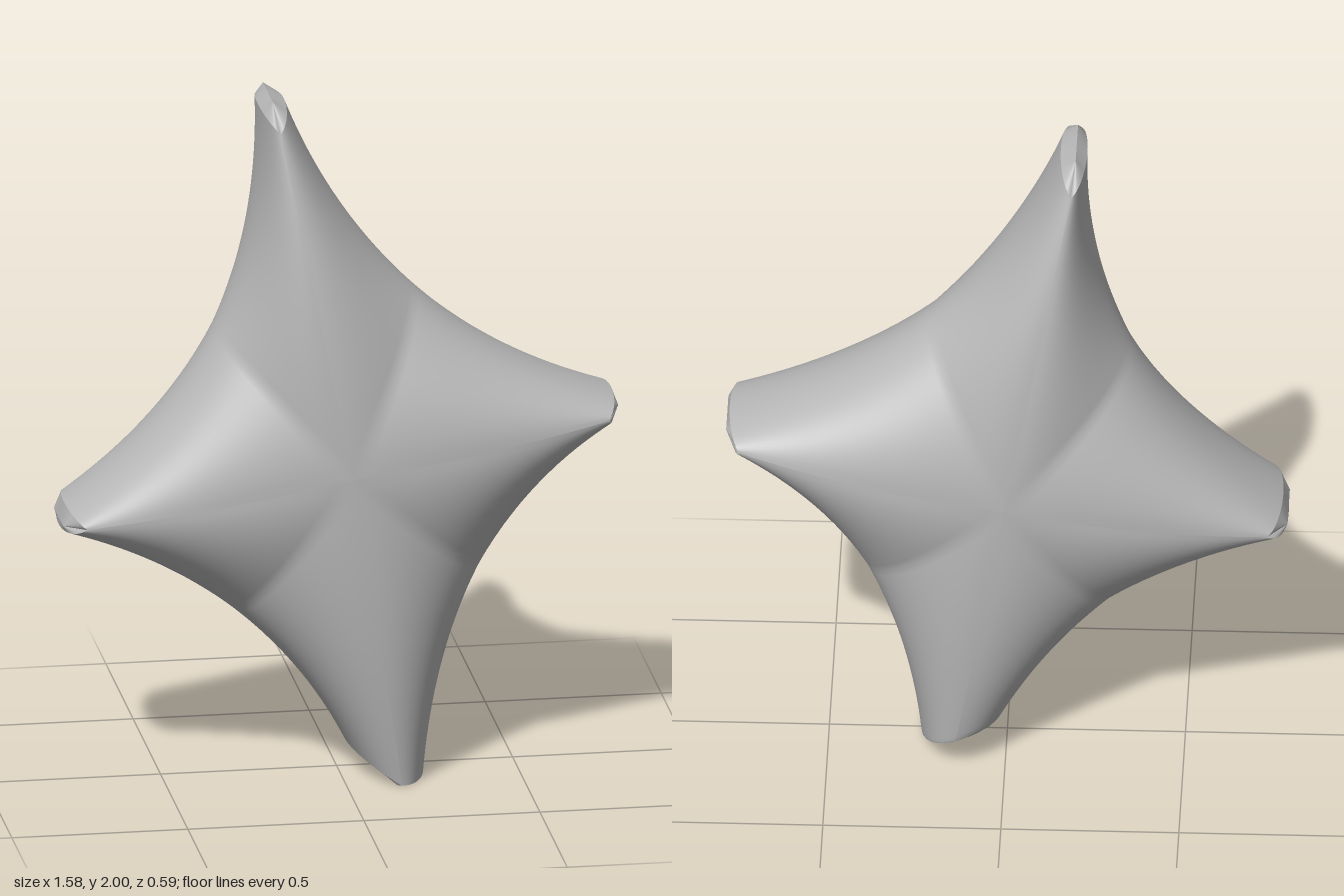
import * as THREE from 'three';

const V = (x, y) => new THREE.Vector2(x, y);
const CENTER = V(0, 0.94);
const DEPTH = 0.297;

// Arms, clockwise from the top: ridge end, tip apex, ridge depth at the end, half depth of the flat tip
const ARMS = [
  { name: 'top', ridge: V(-0.185, 1.93), apex: V(-0.195, 2.0), depth: 0.172, flat: 0.09 },
  { name: 'left', ridge: V(0.745, 1.035), apex: V(0.787, 1.055), depth: 0.172, flat: 0.085 },
  { name: 'bottom', ridge: V(0.155, 0.0), apex: V(0.14, 0.0), depth: 0.208, flat: 0.2 },
  { name: 'right', ridge: V(-0.735, 0.79), apex: V(-0.79, 0.775), depth: 0.175, flat: 0.085 },
];

// Concave sides between neighbouring arms: start, middle and end of each outline
const SIDES = [
  [V(-0.15, 1.98), V(0.215, 1.415), V(0.78, 1.08)],
  [V(0.77, 1.01), V(0.4, 0.585), V(0.24, 0.0)],
  [V(0.02, 0.085), V(-0.3, 0.49), V(-0.79, 0.755)],
  [V(-0.775, 0.82), V(-0.35, 1.32), V(-0.225, 1.97)],
];

// Slanted cut under the bottom arm
const cut = (p) => {
  p.y = Math.max(p.y, 0.097 - 0.36 * p.x - 0.26 * p.z, 0);
  return p;
};

// Surface from a grid of points
function grid(fn, nu, nv) {
  const pos = [], idx = [];
  for (let i = 0; i <= nu; i++)
    for (let j = 0; j <= nv; j++) pos.push(...fn(i / nu, j / nv).toArray());
  for (let i = 0; i < nu; i++)
    for (let j = 0; j < nv; j++) {
      const a = i * (nv + 1) + j, b = a + nv + 1;
      idx.push(a, b, a + 1, b, b + 1, a + 1);
    }
  const g = new THREE.BufferGeometry();
  g.setAttribute('position', new THREE.Float32BufferAttribute(pos, 3));
  g.setIndex(idx);
  g.computeVertexNormals();
  return g;
}

export function createModel() {
  const group = new THREE.Group();
  group.name = 'puffyStar';
  const grey = new THREE.MeshStandardMaterial({ color: 0xb8b8b8, side: THREE.DoubleSide });
  grey.name = 'plain grey';
  const add = (geometry, name) => {
    const mesh = new THREE.Mesh(geometry, grey);
    mesh.name = name;
    group.add(mesh);
  };

  SIDES.forEach(([a, m, b], k) => {
    const from = ARMS[k], to = ARMS[(k + 1) % 4];
    const control = m.clone().multiplyScalar(2).sub(a.clone().add(b).multiplyScalar(0.5));
    const outline = new THREE.QuadraticBezierCurve(a, control, b);

    // Half-elliptic section from the front ridge, around the side, to the back ridge
    const surface = (u, v) => {
      const arm = u < 0.5 ? from : to;
      const s = 1 - Math.pow(2 * Math.min(u, 1 - u), 1.6);
      const ridge = CENTER.clone().lerp(arm.ridge, s);
      const depth = DEPTH - (DEPTH - arm.depth) * s * s;
      const angle = Math.PI * (0.5 - v);
      const p = ridge.lerp(outline.getPoint(u), Math.cos(angle));
      return cut(new THREE.Vector3(p.x, p.y, depth * Math.sin(angle)));
    };
    add(grid(surface, 64, 40), `side${k + 1}`);

    // Half of the blunt tip at each end of the side
    const tip = (arm, u) => (i, v) => {
      const rim = surface(u, v);
      if (i === u) return cut(new THREE.Vector3(
        arm.apex.x, arm.apex.y, THREE.MathUtils.clamp(rim.z, -arm.flat, arm.flat)));
      return rim;
    };
    add(grid(tip(from, 0), 1, 40), `${from.name}Tip`);
    add(grid(tip(to, 1), 1, 40), `${to.name}Tip`);
  });
  return group;
}
